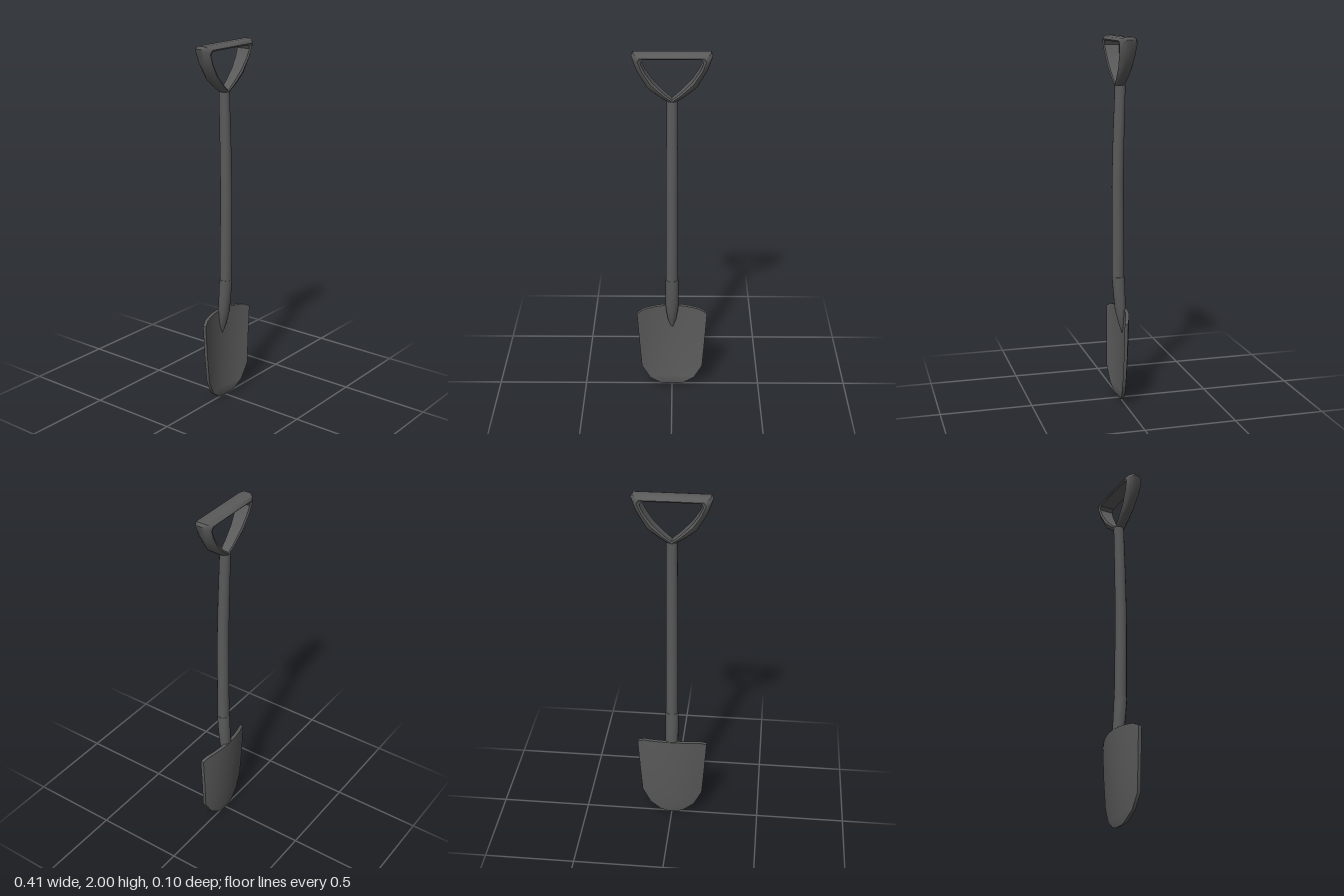
import * as THREE from 'three';
import { toCreasedNormals } from 'three/addons/utils/BufferGeometryUtils.js';

// Skin through equal-length loops; a closed path joins last to first, an open one is capped.
function loft(loops, closed = false, crease = 0.7) {
  const n = loops[0].length, m = loops.length, index = [];
  const quad = (a, b, c, d) => index.push(a, b, c, a, c, d);
  for (let i = 0; i < (closed ? m : m - 1); i++) {
    const lo = i * n, hi = ((i + 1) % m) * n;
    for (let j = 0; j < n; j++) {
      const k = (j + 1) % n;
      quad(lo + j, lo + k, hi + k, hi + j);
    }
  }
  if (!closed) {
    const top = (m - 1) * n;
    for (let i = 0; i < n / 2 - 1; i++) {
      quad(top + i, top + i + 1, top + n - 2 - i, top + n - 1 - i);
      quad(n - 1 - i, n - 2 - i, i + 1, i);
    }
  }
  const g = new THREE.BufferGeometry();
  g.setAttribute('position', new THREE.Float32BufferAttribute(loops.flat(2), 3));
  g.setIndex(index);
  return toCreasedNormals(g, crease);
}

// Horizontal ellipse for the round parts
function ring([y, z, rx, rz = rx], sides = 14) {
  return Array.from({ length: sides }, (_, i) => {
    const t = ((i + 0.5) / sides) * Math.PI * 2;
    return [rx * Math.cos(t), y, z - rz * Math.sin(t)];
  });
}

// Blade: rows of [height, half width, back z at the centre], dished towards the front
function bladeGeometry() {
  const rows = [
    [0, 0.03, -0.006], [0.012, 0.066, -0.009], [0.055, 0.127, -0.014], [0.14, 0.173, -0.022],
    [0.3, 0.185, -0.031], [0.484, 0.197, -0.037], [0.515, 0.16, -0.037],
  ];
  const cols = 10;
  const loops = rows.map(([y, w, zBack], r) => {
    const thick = r === 0 ? 0.01 : 0.019;
    const front = [], back = [];
    for (let c = 0; c <= cols; c++) {
      const x = w * (2 * c / cols - 1);
      const yy = r === rows.length - 1 ? y - 0.012 * (x / w) ** 2 : y;
      const z = zBack + 1.1 * x * x;
      front.push([x, yy, z + thick]);
      back.unshift([x, yy, z]);
    }
    return [...front, ...back];
  });
  return loft(loops);
}

// D-shaped handle: stations of [inner x, inner y, outer x, outer y, half depth]
function handleGeometry() {
  const bottom = [0, 1.752, 0, 1.725, 0.028];
  const top = [0, 1.972, 0, 2.0, 0.05];
  const side = [
    [0.022, 1.77, 0.033, 1.746, 0.03],
    [0.045, 1.79, 0.064, 1.766, 0.032],
    [0.1, 1.846, 0.127, 1.815, 0.037],
    [0.14, 1.905, 0.18, 1.908, 0.043],
    [0.16, 1.95, 0.207, 1.985, 0.047],
    [0.148, 1.971, 0.197, 2.0, 0.05],
  ];
  const mirrored = side.map(([a, b, c, d, w]) => [-a, b, -c, d, w]).reverse();
  // flat inside, rounded outside
  const profile = [
    [-0.85, 0], [0.85, 0], [1, 0.3], [0.75, 0.75], [0.35, 1], [-0.35, 1], [-0.75, 0.75], [-1, 0.3],
  ];
  const loops = [bottom, ...side, top, ...mirrored].map(([ix, iy, ox, oy, w]) =>
    profile.map(([z, t]) => [ix + (ox - ix) * t, iy + (oy - iy) * t, z * w]));
  return loft(loops, true, 0.8);
}

export function createModel() {
  const model = new THREE.Group();
  model.name = 'shovel';
  const darkGrey = new THREE.MeshStandardMaterial({ color: 0x5a5a5a });
  darkGrey.name = 'dark grey';

  const add = (name, geometry) => {
    const mesh = new THREE.Mesh(geometry, darkGrey);
    mesh.name = name;
    model.add(mesh);
  };

  add('blade', bladeGeometry());

  // Socket tapering to a point on the blade
  add('socket', loft([
    [0.375, -0.017, 0.004], [0.43, -0.012, 0.024, 0.018], [0.51, -0.005, 0.036, 0.031],
    [0.6, 0.002, 0.037, 0.033], [0.7, 0.008, 0.037, 0.035],
  ].map((r) => ring(r))));

  // Slightly bowed shaft
  add('shaft', loft([
    [0.68, 0.008, 0.034], [0.95, 0.01, 0.033], [1.2, 0.011, 0.032],
    [1.45, 0.006, 0.031], [1.745, -0.003, 0.029],
  ].map((r) => ring(r))));

  add('handle', handleGeometry());
  return model;
}
